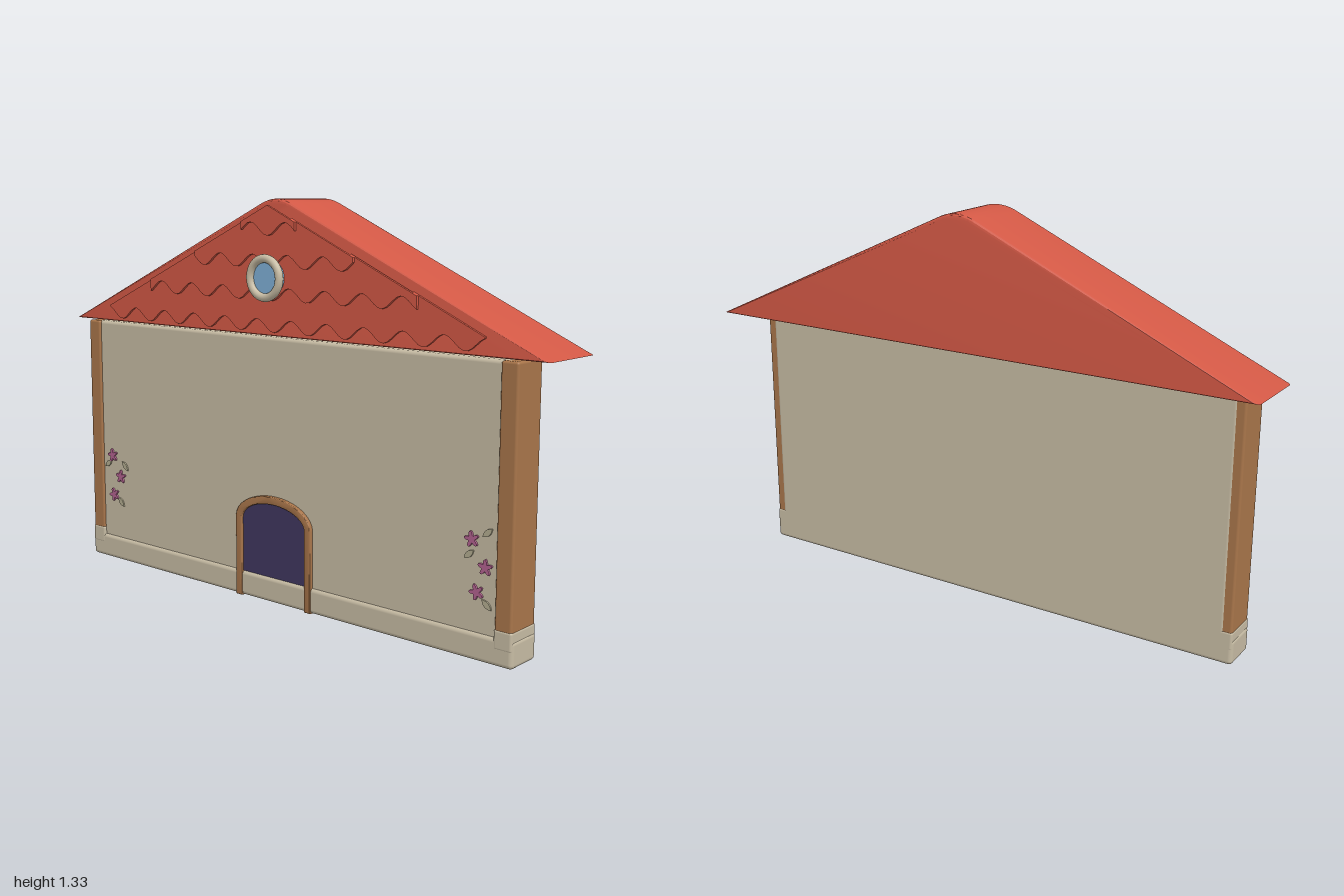
import * as THREE from 'three';
import { toCreasedNormals } from 'three/addons/utils/BufferGeometryUtils.js';
import { RoundedBoxGeometry } from 'three/addons/geometries/RoundedBoxGeometry.js';

const paint = (name, color) => {
  const m = new THREE.MeshStandardMaterial({ color });
  m.name = name;
  return m;
};

export function createModel() {
  const model = new THREE.Group();
  model.name = 'house';
  const red = paint('roof red', 0xd25845);
  const cream = paint('plaster cream', 0xc6bba3);
  const wood = paint('warm wood', 0xa8754a);
  const purple = paint('door purple', 0x40375f);
  const blue = paint('glass blue', 0x7fb0d6);
  const pink = paint('flower pink', 0xb2628f);
  const sage = paint('leaf sage', 0xb3ad90);

  const add = (name, geometry, material, parent = model) => {
    const mesh = new THREE.Mesh(geometry, material);
    mesh.name = name;
    parent.add(mesh);
    return mesh;
  };

  // Rounded box given by its limits on each axis
  const block = (name, material, [x0, x1], [y0, y1], [z0, z1], radius) => {
    const g = new RoundedBoxGeometry(x1 - x0, y1 - y0, z1 - z0, 3, radius);
    add(name, g, material).position.set((x0 + x1) / 2, (y0 + y1) / 2, (z0 + z1) / 2);
  };

  // Extrusion from z0 to z1, with the bevel growing outward from the shape
  const slab = (shape, z0, z1, bevel = 0) => {
    const g = new THREE.ExtrudeGeometry(shape, {
      depth: z1 - z0 - 2 * bevel, curveSegments: 16, bevelEnabled: bevel > 0,
      bevelSize: bevel, bevelThickness: bevel, bevelSegments: 3,
    });
    g.translate(0, 0, z0 + bevel);
    return toCreasedNormals(g, 0.3);
  };

  // Walls, plinth and corner posts
  block('wall', cream, [-0.89, 0.89], [0.03, 0.885], [-0.021, 0.1], 0.012);
  block('plinth', cream, [-0.92, 0.92], [0, 0.085], [-0.021, 0.109], 0.014);
  for (const s of [-1, 1]) {
    const side = s > 0 ? 'left' : 'right';
    const span = (a, b) => (s > 0 ? [a, b] : [-b, -a]);
    block(side + 'Post', wood, span(0.857, 0.915), [0.07, 0.885], [-0.019, 0.108], 0.008);
    block(side + 'PostFoot', cream, span(0.855, 0.917), [0.05, 0.112], [-0.021, 0.11], 0.008);
  }

  // Gabled roof with a softened ridge
  const gable = new THREE.Shape();
  gable.moveTo(-0.985, 0.891);
  gable.lineTo(0.985, 0.891);
  gable.lineTo(0.06, 1.3);
  gable.quadraticCurveTo(0, 1.326, -0.06, 1.3);
  gable.closePath();
  add('roof', slab(gable, -0.155, 0.095, 0.012), red);

  // Overlapping scalloped tile rows, each in front of the one below
  const tiles = new THREE.Group();
  tiles.name = 'roofTiles';
  model.add(tiles);
  const apex = 1.305, slope = 0.45, period = 0.147;
  const rows = [
    { low: 0.9, half: 0.8 }, { low: 1.003, half: 0.57 },
    { low: 1.108, half: 0.34 }, { low: 1.21, half: 0.115 },
  ];
  rows.forEach(({ low, half }, i) => {
    const top = Math.min(low + 0.158, apex);
    const topHalf = (apex - top) / slope;
    const shape = new THREE.Shape();
    shape.moveTo(-half, apex - slope * half);
    const steps = Math.round(half * 140);
    for (let k = 0; k <= steps; k++) {
      const x = half * (2 * k / steps - 1);
      const y = low + 0.021 * (1 - Math.cos(2 * Math.PI * x / period));
      shape.lineTo(x, y);
    }
    shape.lineTo(half, apex - slope * half);
    shape.lineTo(topHalf, top);
    if (topHalf > 0.01) shape.lineTo(-topHalf, top);
    shape.closePath();
    const z = 0.095 + 0.0095 * i;
    add('tileRow' + (i + 1), slab(shape, z - 0.001, z + 0.0085), red, tiles);
  });

  // Round gable window
  const glass = new THREE.CylinderGeometry(0.056, 0.056, 0.032, 40);
  glass.rotateX(Math.PI / 2);
  add('windowGlass', glass, blue).position.set(0, 1.077, 0.126);
  add('windowRing', new THREE.TorusGeometry(0.062, 0.0135, 14, 48), cream).position.set(0, 1.077, 0.1435);

  // Arched doorway
  const door = new THREE.Shape();
  door.moveTo(-0.148, 0.085);
  door.lineTo(0.148, 0.085);
  door.lineTo(0.148, 0.27);
  door.absellipse(0, 0.27, 0.148, 0.07, 0, Math.PI, false);
  door.closePath();
  add('door', slab(door, 0.098, 0.104), purple);

  const frame = new THREE.Shape();
  frame.moveTo(0.143, 0.004);
  frame.lineTo(0.161, 0.004);
  frame.lineTo(0.161, 0.272);
  frame.absellipse(0, 0.272, 0.161, 0.085, 0, Math.PI, false);
  frame.lineTo(-0.161, 0.004);
  frame.lineTo(-0.143, 0.004);
  frame.lineTo(-0.143, 0.27);
  frame.absellipse(0, 0.27, 0.143, 0.069, Math.PI, 0, true);
  frame.closePath();
  add('doorFrame', slab(frame, 0.092, 0.114, 0.004), wood);

  // Climbing flowers and leaves
  const petals = new THREE.Shape();
  for (let k = 0; k < 50; k++) {
    const a = k / 50 * Math.PI * 2;
    const r = 0.018 + 0.007 * Math.cos(5 * a);
    petals[k ? 'lineTo' : 'moveTo'](r * Math.sin(a), r * Math.cos(a));
  }
  const leaf = new THREE.Shape();
  leaf.moveTo(-0.021, 0);
  leaf.quadraticCurveTo(0, -0.018, 0.021, 0);
  leaf.quadraticCurveTo(0, 0.018, -0.021, 0);
  const flowerGeometry = slab(petals, 0, 0.008);
  const leafGeometry = slab(leaf, 0, 0.006);
  const flowers = [
    [-0.805, 0.39, 0.2], [-0.762, 0.315, 0], [-0.8, 0.243, 0.4],
    [0.772, 0.36, 0.2], [0.82, 0.284, 0], [0.792, 0.206, 0.4],
  ];
  const leaves = [
    [-0.83, 0.357, 0.7], [-0.738, 0.358, -0.8], [-0.763, 0.22, -0.8],
    [0.825, 0.387, 0.7], [0.763, 0.314, 0.7], [0.827, 0.174, -0.7],
  ];
  const plant = (name, list, geometry, material) => list.forEach(([x, y, turn]) => {
    const mesh = add(name, geometry, material);
    mesh.position.set(x, y, 0.099);
    mesh.rotation.z = turn;
  });
  plant('flower', flowers, flowerGeometry, pink);
  plant('leaf', leaves, leafGeometry, sage);

  return model;
}
